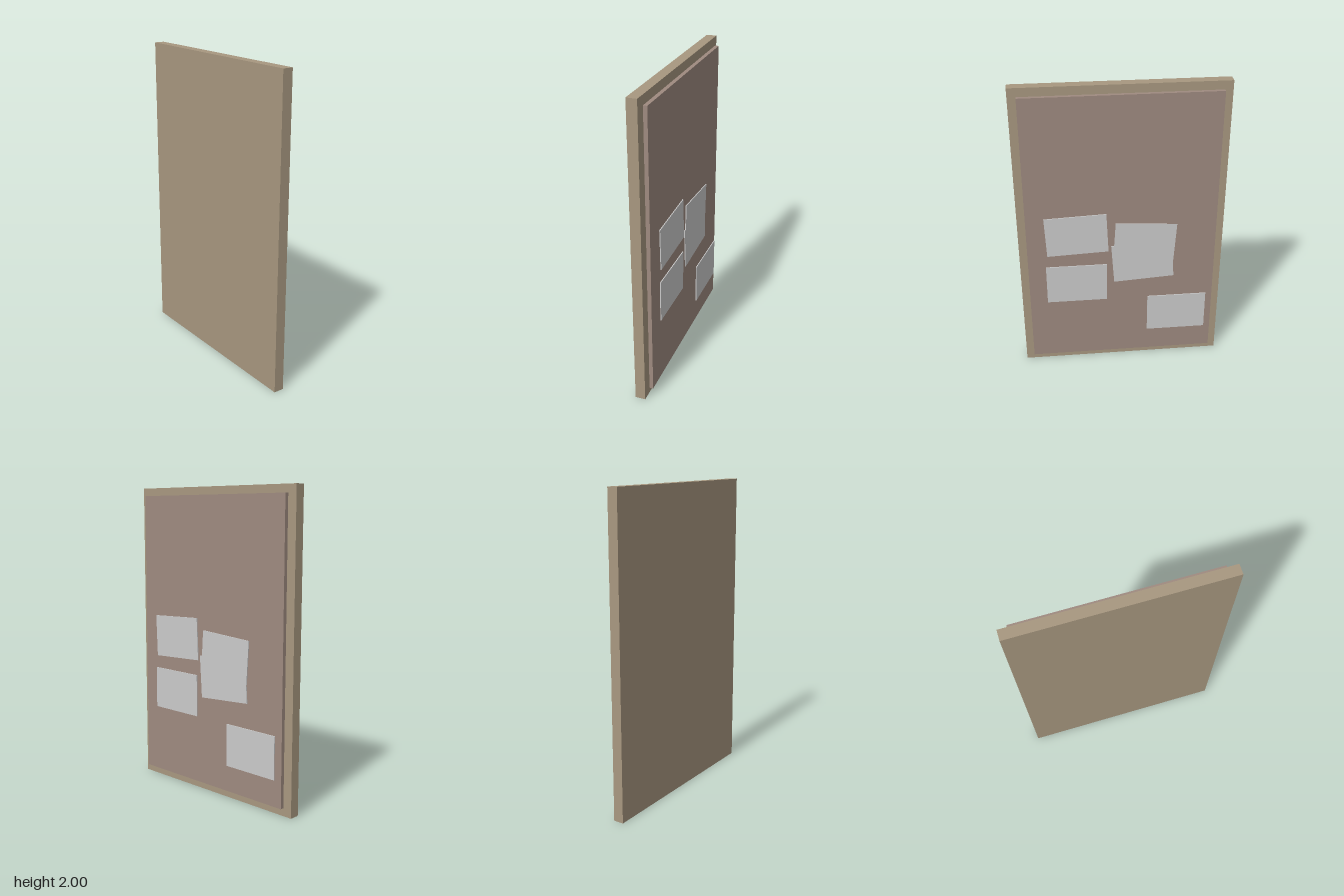
import * as THREE from 'three';

export function createModel() {
  const group = new THREE.Group();
  const wood = new THREE.MeshStandardMaterial({ color: 0xa89880 });
  const cork = new THREE.MeshStandardMaterial({ color: 0x9f8b80 });
  const grey = new THREE.MeshStandardMaterial({ color: 0xcccccc });

  // Upright slab spanning x0..x1, centred on (y, z), tilted about x
  function slab(name, material, [x0, x1], height, depth, y, z, tilt = 0) {
    const mesh = new THREE.Mesh(new THREE.BoxGeometry(x1 - x0, height, depth), material);
    mesh.name = name;
    mesh.position.set((x0 + x1) / 2, y, z);
    mesh.rotation.x = tilt;
    group.add(mesh);
  }

  // Backing and pin surface
  slab('backing', wood, [-0.06, 0.006], 2, 1.333, 1, 0);
  slab('pinSurface', cork, [0.015, 0.04], 1.893, 1.227, 1.002, 0);

  // Pinned sheets: y, z, tilt
  const sheets = [
    [1.017, 0.293, 0.042],
    [0.647, 0.3, 0],
    [0.37, -0.37, 0],
    [0.939, -0.148, -0.063],
    [0.796, -0.136, 0.064],
  ];
  sheets.forEach(([y, z, tilt], i) =>
    slab(`paperSheet${i + 1}`, grey, [0.05, 0.056], 0.277, 0.397, y, z, tilt));

  return group;
}
